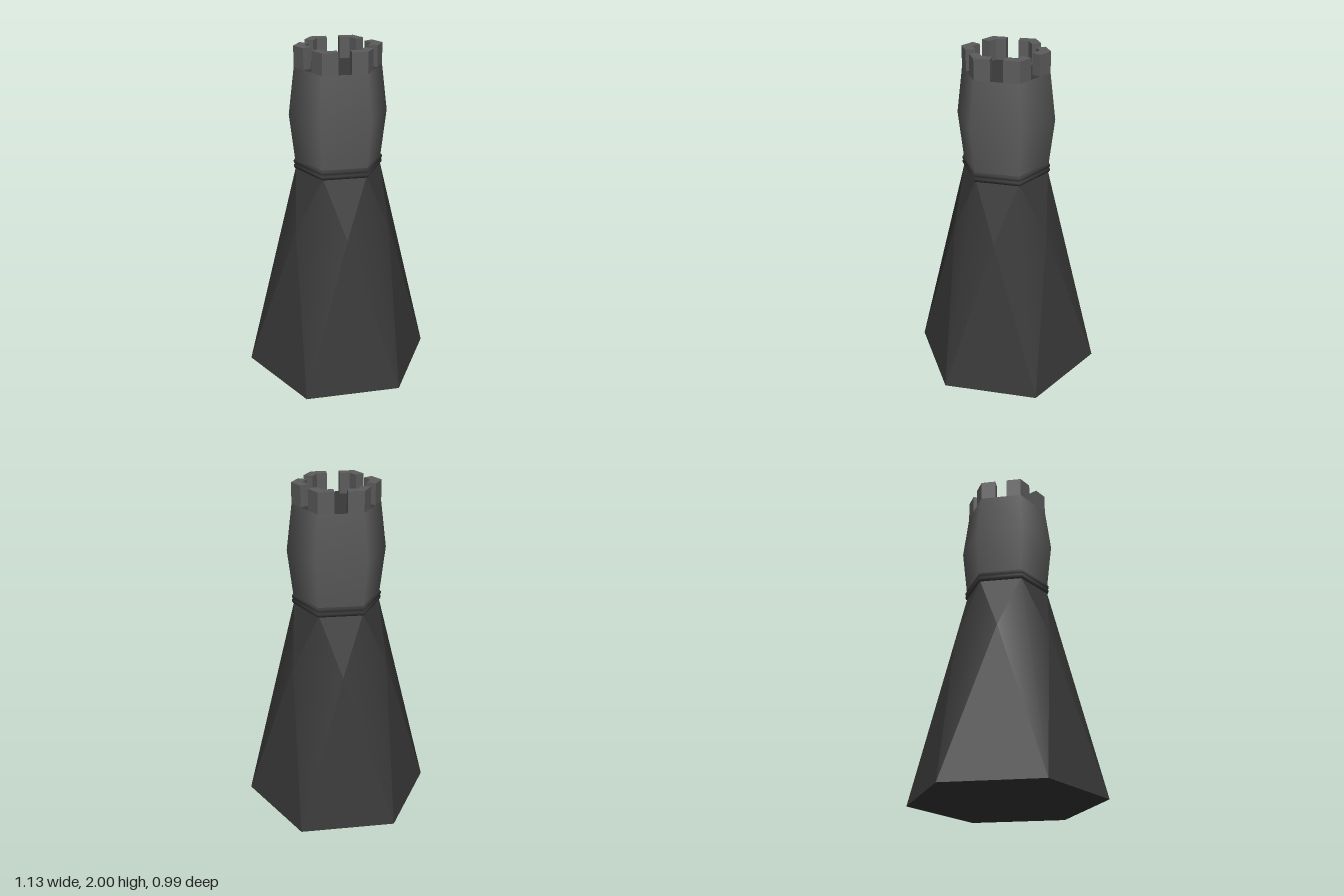
import * as THREE from 'three';

const SIDES = 6;
const STEP = (Math.PI * 2) / SIDES;
const TOWER_X = 0.005; // the tower stands slightly off the skirt's centre

const stone = new THREE.MeshStandardMaterial({ color: 0x5c5c5c });
const dark = new THREE.MeshStandardMaterial({ color: 0x383838 });

function addMesh(parent, name, geometry, material) {
  const mesh = new THREE.Mesh(geometry, material);
  mesh.name = name;
  parent.add(mesh);
  return mesh;
}

// Six-sided turned body with a corner on the x axis; points run bottom to top.
function hexLathe(points) {
  return new THREE.LatheGeometry(points.map(([r, y]) => new THREE.Vector2(r, y)), SIDES, Math.PI / 2);
}

// Flared skirt: slightly twisted base, a raised point in each side, hexagonal neck.
function skirtGeometry() {
  const polar = (r, y, a, x = 0) => [x + r * Math.cos(a), y, r * Math.sin(a)];
  const base = (i) => polar(0.565, 0, i * STEP - 0.02);
  const mid = (i) => polar(0.32, 0.94, (i + 0.5) * STEP, TOWER_X / 2);
  const neck = (i) => polar(0.25, 1.29, i * STEP, TOWER_X);

  const positions = [];
  const index = [];
  const face = (corners, order = [0, 1, 2]) => {
    const start = positions.length / 3;
    corners.forEach((c) => positions.push(...c));
    order.forEach((k) => index.push(start + k));
  };
  for (let i = 0; i < SIDES; i++) {
    face([base(i + 1), base(i), mid(i)]); // lower side facet
    face([mid(i), neck(i), neck(i + 1)]); // upper side facet
    face([base(i), neck(i), mid(i), mid(i - 1)], [0, 1, 2, 0, 3, 1]); // softly rounded corner
    face([[0, 0, 0], base(i), base(i + 1)]); // underside
  }
  const geometry = new THREE.BufferGeometry();
  geometry.setAttribute('position', new THREE.Float32BufferAttribute(positions, 3));
  geometry.setIndex(index);
  geometry.computeVertexNormals();
  return geometry;
}

// Angled battlement block around one corner, with parallel-sided gaps to its neighbours.
function merlonGeometry(outer, inner, gap, height) {
  const along = (r, side) => {
    const d = r / 2 - gap / 2;
    return new THREE.Vector2(r - d * 0.5, side * d * Math.sin(STEP));
  };
  const shape = new THREE.Shape([
    along(outer, -1), new THREE.Vector2(outer, 0), along(outer, 1),
    along(inner, 1), new THREE.Vector2(inner, 0), along(inner, -1),
  ]);
  return new THREE.ExtrudeGeometry(shape, { depth: height, bevelEnabled: false }).rotateX(-Math.PI / 2);
}

export function createModel() {
  const model = new THREE.Group();
  model.name = 'tower';

  addMesh(model, 'skirt', skirtGeometry(), dark);

  const upper = new THREE.Group();
  upper.name = 'upperTower';
  upper.position.x = TOWER_X;
  model.add(upper);

  // Two-banded collar
  addMesh(upper, 'collar', hexLathe([
    [0.235, 1.28], [0.255, 1.284], [0.262, 1.295], [0.262, 1.306], [0.256, 1.313],
    [0.262, 1.32], [0.262, 1.332], [0.255, 1.342], [0.235, 1.345],
  ]), dark);

  // Swelling wall and the floor behind the battlements
  addMesh(upper, 'wall', hexLathe([[0.248, 1.29], [0.284, 1.61], [0.25, 1.88]]), stone);
  const floor = new THREE.CircleGeometry(0.25, SIDES).rotateX(-Math.PI / 2);
  addMesh(upper, 'floor', floor, dark).position.y = 1.88;

  // Battlements
  const merlon = merlonGeometry(0.25, 0.188, 0.072, 0.12);
  for (let i = 0; i < SIDES; i++) {
    const block = addMesh(upper, 'merlon', merlon, stone);
    block.position.y = 1.88;
    block.rotation.y = i * STEP;
  }
  return model;
}
